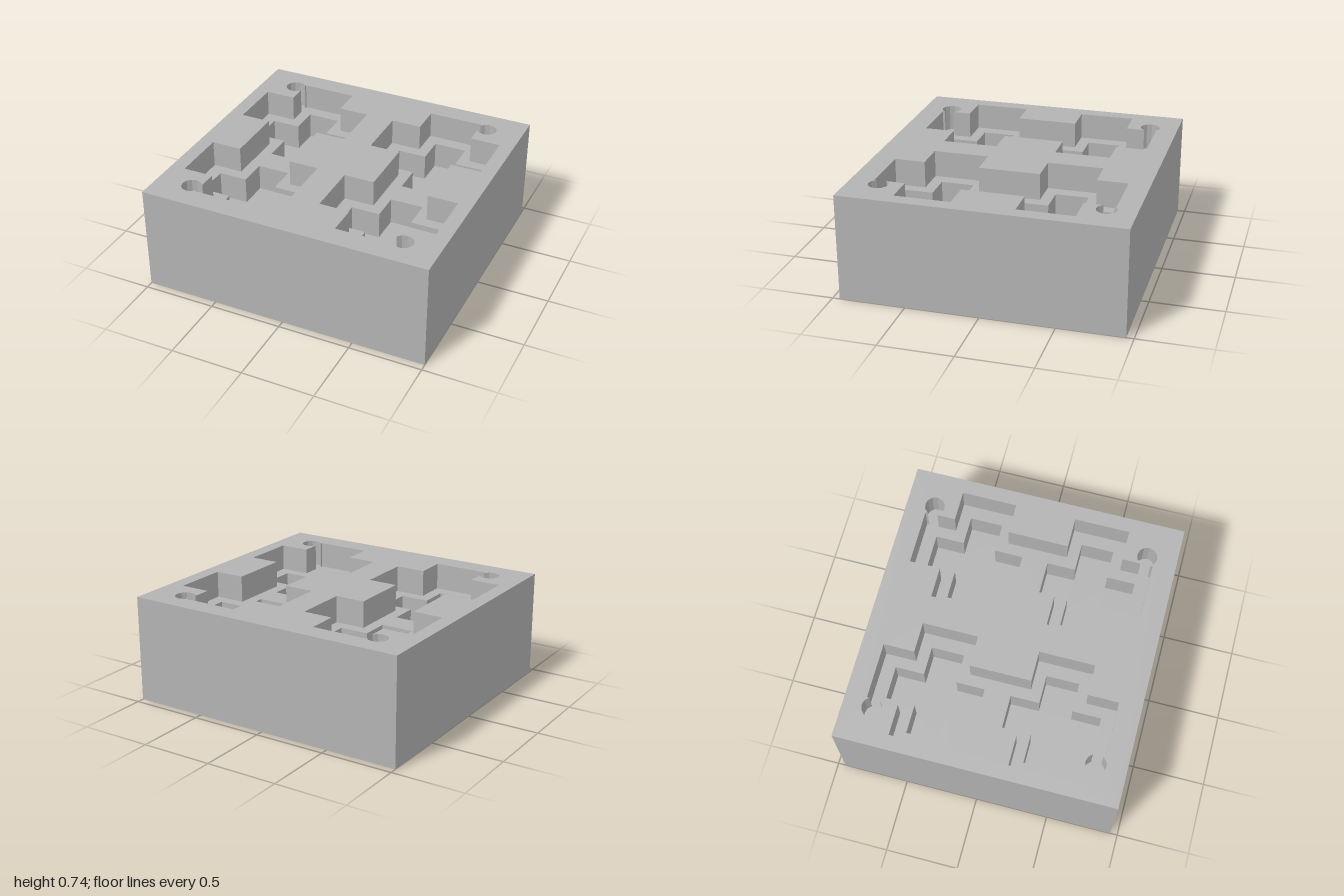
import * as THREE from 'three';

const HEIGHT = 0.735, STEP = 0.184; // block height, depth of each pocket level
const LEDGE = HEIGHT - STEP, FLOOR = HEIGHT - 2 * STEP;
const SHIFT = 0.005; // pockets sit slightly towards the back

const V = (x, y) => new THREE.Vector2(x, y);
const mirrorX = loop => loop.map(p => V(-p.x, p.y)).reverse();

// Plan loops are counter-clockwise seen from above, with plan y = -z.
function pocketLoop() {
  const a = 0.19, half = [V(a, 0.21), V(0.4, 0.21), V(0.4, 0.59), V(a, 0.59)];
  // round corner hole that opens into the pocket
  for (let d = -150; d <= 150; d += 30) {
    const t = THREE.MathUtils.degToRad(d);
    half.push(V(0.25 + 0.069 * Math.cos(t), 0.75 + 0.069 * Math.sin(t)));
  }
  half.push(V(a, 0.8), V(-a, 0.8), V(-a, 0.59), V(-0.4, 0.59), V(-0.4, 0.21), V(-a, 0.21));
  const other = half.map(p => V(p.x, -p.y)).reverse();
  return [...half, ...other].map(p => V(p.x + 0.5, p.y + SHIFT));
}

function crossLoop(cx, cy) {
  const l = 0.31, w = 0.113;
  return [[w, w], [w, l], [-w, l], [-w, w], [-l, w], [-l, -w],
    [-w, -w], [-w, -l], [w, -l], [w, -w], [l, -w], [l, w]].map(([x, y]) => V(cx + x, cy + y + SHIFT));
}

// Horizontal face at height y, with optional openings
function face(loop, y, holes = []) {
  const shape = new THREE.Shape(loop);
  shape.holes = holes.map(h => new THREE.Path(h));
  return new THREE.ShapeGeometry(shape).rotateX(-Math.PI / 2).translate(0, y, 0);
}

// Vertical walls along a loop, facing outwards from it
function walls(loop, y0, y1) {
  const pos = [];
  loop.forEach((a, i) => {
    const b = loop[(i + 1) % loop.length];
    pos.push(a.x, y0, -a.y, b.x, y0, -b.y, b.x, y1, -b.y,
      a.x, y0, -a.y, b.x, y1, -b.y, a.x, y1, -a.y);
  });
  const g = new THREE.BufferGeometry();
  g.setAttribute('position', new THREE.Float32BufferAttribute(pos, 3));
  g.computeVertexNormals();
  return g;
}

export function createModel() {
  const model = new THREE.Group();
  model.name = 'pocketedBlock';
  const grey = new THREE.MeshStandardMaterial({ color: 0xb3b3b3 });
  grey.name = 'plain grey';
  const add = (name, geometry, parent = model) => {
    const mesh = new THREE.Mesh(geometry, grey);
    mesh.name = name;
    parent.add(mesh);
  };

  const outline = [V(-1, -0.95), V(1, -0.95), V(1, 0.95), V(-1, 0.95)];
  const leftPocket = pocketLoop();
  const pockets = [leftPocket, mirrorX(leftPocket)];

  // Outer block
  add('blockSides', walls(outline, 0, HEIGHT));
  add('blockTop', face(outline, HEIGHT, pockets));
  add('blockBottom', face(outline, 0).rotateX(Math.PI));

  // Two stepped pockets, each with a pair of deeper crosses
  pockets.forEach((loop, i) => {
    const group = new THREE.Group();
    group.name = i ? 'rightPocket' : 'leftPocket';
    model.add(group);
    const cx = i ? -0.5 : 0.5;
    const crosses = [crossLoop(cx, 0.4), crossLoop(cx, -0.4)];
    add('pocketWalls', walls([...loop].reverse(), LEDGE, HEIGHT), group);
    add('pocketLedge', face(loop, LEDGE, crosses), group);
    crosses.forEach(cross => {
      add('crossWalls', walls([...cross].reverse(), FLOOR, LEDGE), group);
      add('crossFloor', face(cross, FLOOR), group);
    });
  });
  return model;
}
